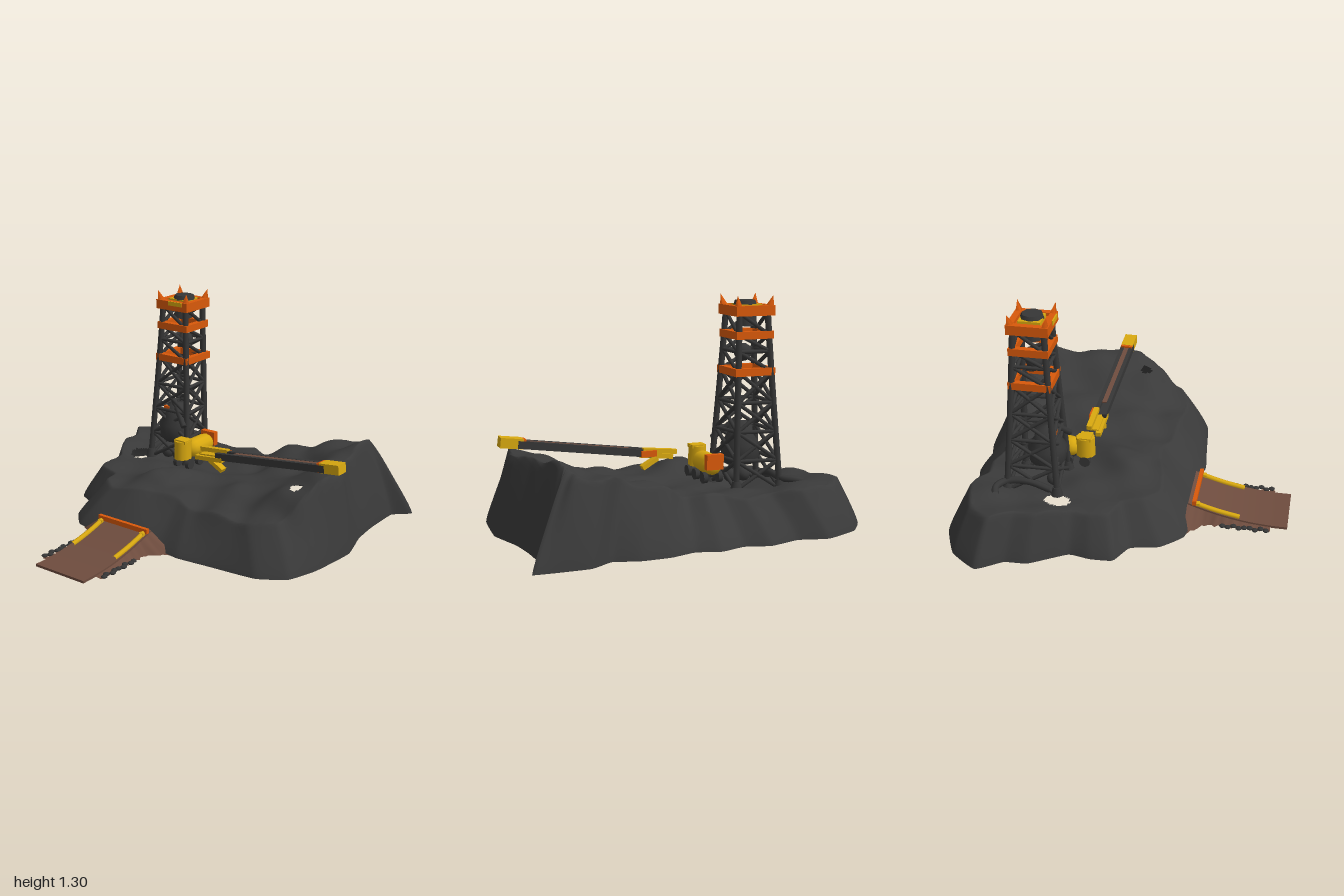
import * as THREE from 'three';

const mat = (name, color, side = THREE.FrontSide) => {
  const m = new THREE.MeshStandardMaterial({ color, side });
  m.name = name;
  return m;
};
const V = (x, y, z) => new THREE.Vector3(x, y, z);

export function createModel() {
  const rock = mat('dark rock', 0x3a3a3a, THREE.DoubleSide);
  const steel = mat('dark steel', 0x363636);
  const orange = mat('orange paint', 0xd9590a);
  const yellow = mat('yellow paint', 0xd8a810);
  const brown = mat('brown earth', 0x6e4c3e, THREE.DoubleSide);

  const model = new THREE.Group();
  model.name = 'miningSite';
  const group = (name) => {
    const g = new THREE.Group();
    g.name = name;
    model.add(g);
    return g;
  };
  const add = (parent, name, geo, material, p = [0, 0, 0]) => {
    const m = new THREE.Mesh(geo, material);
    m.name = name;
    m.position.set(...p);
    parent.add(m);
    return m;
  };
  const box = (parent, name, size, p, material) => add(parent, name, new THREE.BoxGeometry(...size), material, p);
  // Round strut between two points
  const strut = (parent, name, a, b, r, material, sides = 7) => {
    const d = b.clone().sub(a);
    const m = add(parent, name, new THREE.CylinderGeometry(r, r, d.length(), sides), material);
    m.position.copy(a).lerp(b, 0.5);
    m.quaternion.setFromUnitVectors(V(0, 1, 0), d.normalize());
  };
  // Rectangular beam between two points, w wide across z
  const beam = (parent, name, a, b, h, w, material) => {
    const d = b.clone().sub(a);
    const m = box(parent, name, [d.length(), h, w], [0, 0, 0], material);
    m.position.copy(a).lerp(b, 0.5);
    m.quaternion.setFromUnitVectors(V(1, 0, 0), d.normalize());
  };

  // Hollow rock mound: rings shrinking from the ground outline to the centre
  const outline = [[-1, -.67], [-.88, -.83], [-.67, -.92], [-.5, -.88], [-.32, -.93], [-.18, -.89], [-.03, -.93], [.1, -.89],
    [.25, -.93], [.42, -.93], [.56, -.89], [.69, -.96], [.99, -.95], [.9, -.85], [.9, -.6], [.92, -.42], [.98, -.2], [.95, .1],
    [.89, .28], [.74, .38], [.45, .41], [.25, .43], [.1, .41], [-.3, .43], [-.5, .4], [-.62, .28], [-.66, .12], [-.79, .05],
    [-.8, -.08], [-.78, -.2], [-.9, -.4], [-.91, -.53]];
  const heights = [[-.9, -.65, .28], [-.6, -.75, .28], [-.3, -.75, .25], [0, -.75, .27], [.3, -.75, .36], [.55, -.72, .43],
    [.83, -.68, .52], [.83, -.4, .48], [.84, -.15, .48], [.75, 0, .42], [.7, .17, .27], [.45, .2, .25], [.4, -.1, .32],
    [.4, -.45, .33], [.1, -.4, .25], [.1, -.08, .28], [-.15, .02, .35], [-.15, .22, .25], [.15, .22, .23], [-.45, .1, .24],
    [-.58, .18, .21], [-.7, -.05, .23], [-.4, -.4, .22], [-.2, -.4, .24], [-.6, -.3, .25], [-.8, -.4, .28],
    [-.35, -.08, .24], [.03, .06, .26]];
  const ground = (x, z) => {
    let sum = 0, total = 0;
    for (const [px, pz, h] of heights) {
      const w = 1 / (((x - px) ** 2 + (z - pz) ** 2) ** 1.7 + 0.0004);
      sum += w * h;
      total += w;
    }
    return sum / total + 0.012 * Math.sin(17 * x + 5 * z) * Math.sin(15 * z - 4 * x);
  };
  const rim = new THREE.CatmullRomCurve3(outline.map(([x, z]) => V(x, 0.02, z)), true, 'catmullrom', 0.2);
  const N = 300, R = 64, cx = 0, cz = -0.25;
  const rimPoints = rim.getSpacedPoints(N).slice(0, N);
  const pos = [], idx = [];
  for (let j = 0; j <= R; j++) {
    const t = (j / R) ** 1.25;
    for (const p of rimPoints) {
      const dx = p.x - cx, dz = p.z - cz, len = Math.hypot(dx, dz);
      const x = p.x - dx * t, z = p.z - dz * t;
      const corner = Math.exp(-((p.x - .99) ** 2 + (p.z + .95) ** 2) / 0.01);
      const wide = 0.08 + (dz > 0 ? 0.15 : 0.11) * Math.abs(dz / len) + 0.14 * corner;
      const rise = Math.min(1, len * t / wide) ** 0.85;
      pos.push(x, 0.02 + (ground(x, z) - 0.02) * rise, z);
    }
  }
  const inHole = (x, z) => ((x + .6) / .065) ** 2 + ((z + .3) / .07) ** 2 < 1 || Math.hypot(x - .73, z + .03) < .035;
  for (let j = 0; j < R; j++) {
    for (let i = 0; i < N; i++) {
      const a = j * N + i, b = j * N + (i + 1) % N, c = a + N, d = b + N;
      if (inHole((pos[a * 3] + pos[d * 3]) / 2, (pos[a * 3 + 2] + pos[d * 3 + 2]) / 2)) continue;
      idx.push(a, c, b, b, c, d);
    }
  }
  const mound = new THREE.BufferGeometry();
  mound.setAttribute('position', new THREE.Float32BufferAttribute(pos, 3));
  mound.setIndex(idx);
  mound.computeVertexNormals();
  add(model, 'rockMound', mound, rock);

  // Ramp: curved slab, flaring where it meets the rock
  const ramp = group('ramp');
  const rampY = (z) => 0.025 + 0.085 * Math.max(0, (0.93 - z) / 0.5) ** 2;
  const slab = new THREE.BoxGeometry(0.35, 0.014, 0.57, 1, 1, 14).translate(-0.135, -0.007, 0.68);
  const sp = slab.attributes.position;
  for (let i = 0; i < sp.count; i++) sp.setY(i, sp.getY(i) + rampY(sp.getZ(i)));
  slab.computeVertexNormals();
  add(ramp, 'rampDeck', slab, brown);
  for (const s of [-1, 1]) {
    const X = (d) => -0.135 + s * (0.175 + d);
    // Ragged bank beside the deck
    const bank = new THREE.BufferGeometry(), bp = [], bi = [], steps = 26;
    for (let i = 0; i <= steps; i++) {
      const z = 0.39 + 0.48 * i / steps;
      const flare = 0.12 * Math.max(0, 1 - i / 6) + 0.04 + 0.012 * Math.sin(i * 2.3);
      bp.push(X(0), rampY(z) - 0.01, z, X(flare), 0.012, z);
      if (i < steps) {
        const a = i * 2;
        bi.push(...(s > 0 ? [a, a + 2, a + 1, a + 1, a + 2, a + 3] : [a, a + 1, a + 2, a + 1, a + 3, a + 2]));
      }
    }
    bank.setAttribute('position', new THREE.Float32BufferAttribute(bp, 3));
    bank.setIndex(bi);
    bank.computeVertexNormals();
    add(ramp, 'rampBank', bank, brown);
    for (let i = 0; i < 9; i++) {
      const rubble = add(ramp, 'rubble', new THREE.IcosahedronGeometry(0.018, 1), steel, [X(0.042 + 0.01 * Math.sin(i * 2.4)), 0.02, 0.6 + i * 0.031]);
      rubble.scale.set(1, 0.55, 1);
    }
    const rail = new THREE.CatmullRomCurve3([0.43, 0.5, 0.58, 0.69].map((z) => V(X(-0.02), rampY(z) + 0.005, z)));
    add(ramp, 'rampRail', new THREE.TubeGeometry(rail, 12, 0.015, 8), yellow);
    box(ramp, 'railPost', [0.03, 0.065, 0.02], [X(-0.02), 0.087, 0.45], yellow);
  }
  box(ramp, 'rampSill', [0.36, 0.028, 0.022], [-0.135, 0.126, 0.43], orange);

  // Lattice tower; the rear leg on the pit side stands nearly upright
  const tower = group('tower');
  const at = (sx, sz, y) => {
    const k = Math.max(0, (1.22 - y) / 0.95);
    const half = 0.085 + (sx > 0 && sz < 0 ? 0.015 : 0.058) * k ** 1.1;
    return V(-0.39 + sx * half, y, -0.46 + sz * half);
  };
  const corners = [[-1, -1], [1, -1], [1, 1], [-1, 1]];
  const levels = [0.24, 0.4, 0.56, 0.72, 0.89, 1.0, 1.09, 1.21];
  corners.forEach(([sx, sz], c) => {
    const [nx, nz] = corners[(c + 1) % 4];
    for (let i = 0; i < levels.length - 1; i++) {
      const [y0, y1] = [levels[i], levels[i + 1]];
      strut(tower, 'towerLeg', at(sx, sz, y0), at(sx, sz, y1), 0.018, steel, 8);
      strut(tower, 'crossBrace', at(sx, sz, y0), at(nx, nz, y1), 0.011, steel);
      if (i < 4) strut(tower, 'crossBrace', at(nx, nz, y0), at(sx, sz, y1), 0.011, steel);
      strut(tower, 'girder', at(sx, sz, y1), at(nx, nz, y1), 0.011, steel);
    }
    const foot = at(sx, sz, 0.27);
    add(tower, 'towerFoot', new THREE.CylinderGeometry(0.022, 0.035, 0.05, 10), steel, [foot.x, 0.265, foot.z]);
    // Upturned horn at each corner of the crown
    const horn = add(tower, 'crownHorn', new THREE.ConeGeometry(0.032, 0.09, 4, 1, false, Math.PI / 4), orange, [-0.39 + sx * 0.098, 1.262, -0.46 + sz * 0.098]);
    horn.rotation.set(sz * 0.2, 0, -sx * 0.2);
  });
  const square = (Kind, r) => new Kind(corners.map(([a, b]) => new THREE.Vector2(a * r, b * r)));
  const band = (y, half, inner, h) => {
    const shape = square(THREE.Shape, half);
    shape.holes.push(square(THREE.Path, inner));
    const geo = new THREE.ExtrudeGeometry(shape, { depth: h, bevelEnabled: false }).rotateX(-Math.PI / 2);
    add(tower, 'towerBand', geo, orange, [-0.39, y - h / 2, -0.46]);
  };
  band(0.89, 0.119, 0.085, 0.042);
  band(1.09, 0.111, 0.075, 0.042);
  band(1.222, 0.116, 0.08, 0.055);
  box(tower, 'topDeck', [0.17, 0.012, 0.17], [-0.39, 1.225, -0.46], orange);
  box(tower, 'sheaveBase', [0.125, 0.025, 0.125], [-0.39, 1.242, -0.46], yellow);
  box(tower, 'crownPlate', [0.1, 0.025, 0.008], [-0.36, 1.238, -0.342], yellow);
  add(tower, 'sheaveCap', new THREE.CylinderGeometry(0.058, 0.068, 0.025, 8), steel, [-0.38, 1.263, -0.46]);
  add(tower, 'upperDrum', new THREE.SphereGeometry(0.05, 12, 8), steel, [-0.37, 0.99, -0.46]);
  add(tower, 'upperMotor', new THREE.CylinderGeometry(0.05, 0.06, 0.06, 10), steel, [-0.39, 1.165, -0.46]);

  // Ore bucket hanging low in the tower, with its feed pipe
  const bucket = [[0, .36], [.08, .36], [.105, .39], [.11, .47], [.075, .52], [.06, .59], [0, .6]].map(([x, y]) => new THREE.Vector2(x, y));
  add(tower, 'oreBucket', new THREE.LatheGeometry(bucket, 18), steel, [-0.39, 0, -0.4]);
  box(tower, 'bucketLatch', [0.04, 0.02, 0.02], [-0.425, 0.575, -0.345], orange);
  strut(tower, 'bucketArm', V(-.4, .62, -.38), V(-.26, .49, -.3), 0.018, steel);
  const pipe = new THREE.CatmullRomCurve3([V(-.65, .28, -.64), V(-.6, .295, -.65), V(-.54, .3, -.61), V(-.535, .31, -.48), V(-.55, .28, -.35)]);
  add(tower, 'feedPipe', new THREE.TubeGeometry(pipe, 24, 0.02, 8), steel);
  for (const x of [-0.43, -0.35]) add(tower, 'looseRock', new THREE.IcosahedronGeometry(0.04, 1), steel, [x, 0.28, -0.36]);

  // Digging vehicle
  const digger = group('digger');
  add(digger, 'diggerBody', new THREE.CapsuleGeometry(0.058, 0.12, 4, 12).rotateX(Math.PI / 2), yellow, [-0.2, 0.365, -0.37]);
  const cab = add(digger, 'diggerCab', new THREE.CylinderGeometry(0.05, 0.052, 0.115, 10), yellow, [-0.207, 0.38, -0.222]);
  cab.scale.z = 1.1;
  box(digger, 'cabRoof', [0.085, 0.02, 0.07], [-0.205, 0.435, -0.22], yellow);
  box(digger, 'diggerTail', [0.1, 0.085, 0.035], [-0.195, 0.39, -0.475], orange);
  for (const x of [-0.245, -0.155]) for (const z of [-0.43, -0.32, -0.22]) {
    add(digger, 'wheel', new THREE.CylinderGeometry(0.032, 0.032, 0.025, 12).rotateZ(Math.PI / 2), steel, [x, 0.295, z]);
  }

  // Conveyor climbing to the high ridge
  const conveyor = group('conveyor');
  for (const z of [-0.027, 0.027]) {
    beam(conveyor, 'conveyorBeam', V(.08, .41, -.2 + z), V(.84, .512, -.17 + z), 0.042, 0.024, steel);
    beam(conveyor, 'feedFork', V(-.07, z > 0 ? .375 : .414, -.205 + z), V(.13, z > 0 ? .396 : .434, -.2 + z), 0.026, 0.032, yellow);
  }
  beam(conveyor, 'conveyorTray', V(.08, .4, -.2), V(.84, .505, -.17), 0.016, 0.05, steel);
  beam(conveyor, 'conveyorBelt', V(.2, .443, -.194), V(.8, .523, -.171), 0.008, 0.03, brown);
  beam(conveyor, 'headCollar', V(.795, .51, -.171), V(.815, .513, -.17), 0.055, 0.07, orange);
  beam(conveyor, 'conveyorHead', V(.81, .513, -.17), V(.935, .528, -.165), 0.056, 0.075, yellow);
  beam(conveyor, 'feedPlate', V(-.05, .392, -.205), V(.1, .41, -.2), 0.01, 0.05, yellow);
  beam(conveyor, 'feedChute', V(.03, .375, -.19), V(.12, .325, -.19), 0.025, 0.045, yellow);
  box(conveyor, 'driveMotor', [0.09, 0.035, 0.02], [0.1, 0.415, -0.248], orange);

  return model;
}
